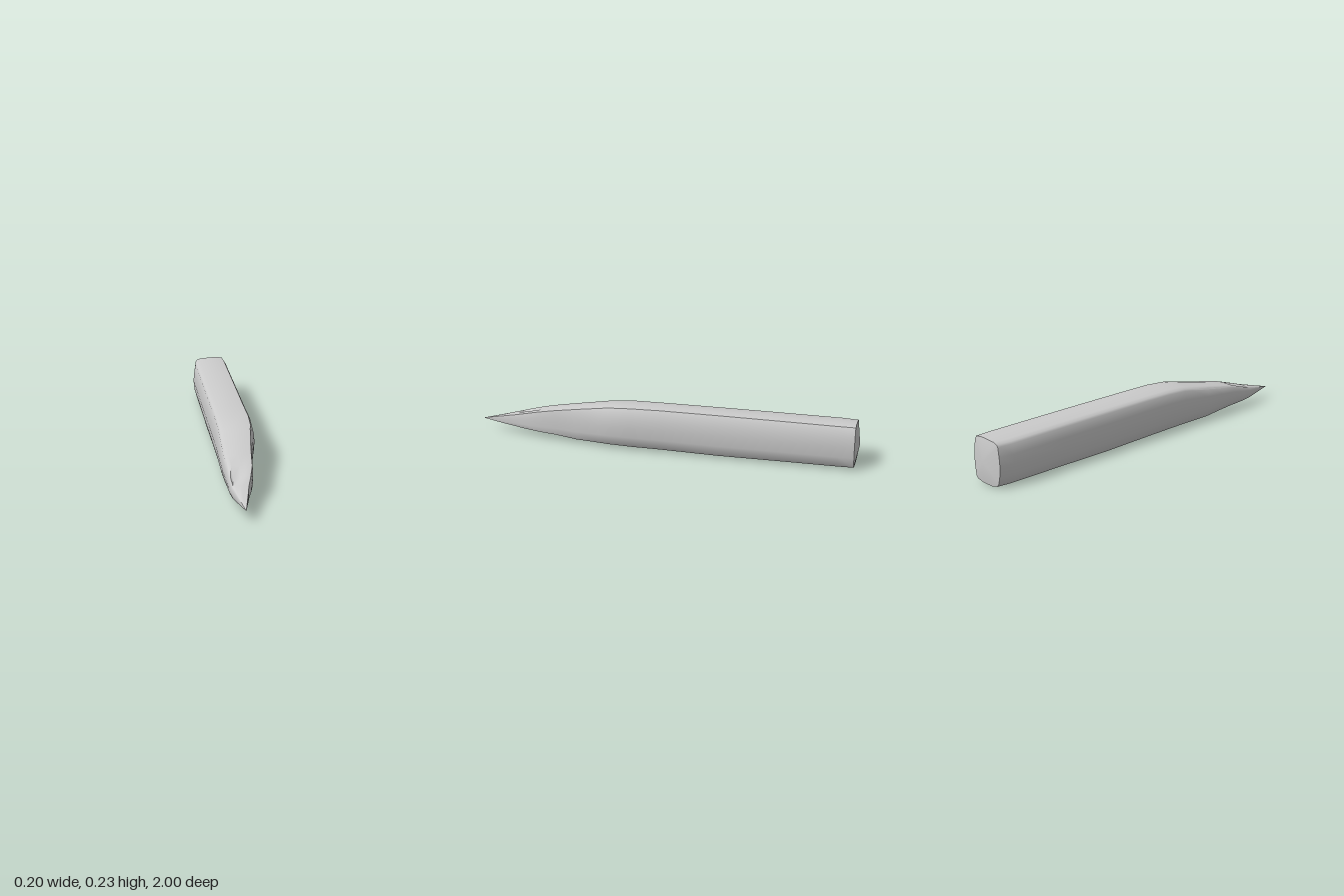
import * as THREE from 'three';
import { toCreasedNormals } from 'three/addons/utils/BufferGeometryUtils.js';

// Unit cross-section of the stake: a square with bowed sides and soft corners
const SECTION = [
  [1, 0.08], [0.97, 0.45], [0.87, 0.83], [0.78, 0.96], [0.4, 1], [0, 0.98],
  [-0.6, 0.94], [-0.8, 0.87], [-0.88, 0.78], [-0.96, 0.35], [-1, -0.05], [-0.95, -0.5],
  [-0.85, -0.82], [-0.75, -0.93], [-0.35, -1], [0.3, -0.98], [0.75, -0.9], [0.88, -0.8], [0.96, -0.4],
];

// Stations along the length: z, left edge, right edge, bottom, top
const STATIONS = [
  [-0.98, -0.092, 0.092, 0.004, 0.228],
  [-0.90, -0.102, 0.097, 0.004, 0.229],
  [-0.60, -0.100, 0.097, 0.003, 0.231],
  [-0.30, -0.099, 0.097, 0.001, 0.232],
  [0.00, -0.097, 0.097, 0.006, 0.232],
  [0.15, -0.097, 0.100, 0.008, 0.230],
  [0.27, -0.096, 0.095, 0.010, 0.222],
  [0.32, -0.096, 0.085, 0.011, 0.213],
  [0.45, -0.096, 0.063, 0.013, 0.190],
  [0.57, -0.096, 0.046, 0.026, 0.168],
  [0.66, -0.093, 0.038, 0.032, 0.150],
  [0.74, -0.090, 0.020, 0.036, 0.128],
  [0.81, -0.083, 0.001, 0.041, 0.108],
  [0.90, -0.062, -0.018, 0.050, 0.086],
];

function loft() {
  const n = SECTION.length;
  const pos = [];
  const index = [];
  STATIONS.forEach(([z, x0, x1, y0, y1], i) => {
    const cut = THREE.MathUtils.clamp((z - 0.27) / 0.3, 0, 1);
    SECTION.forEach(([u, v], j) => {
      // the pared side is flatter towards the tip
      const uu = u > 0.7 ? THREE.MathUtils.lerp(u, 0.95, cut * 0.7) : u;
      // slight hand-hewn waviness, stronger on the lower flanks
      const wave = z > -0.9 && z < 0.27 ? 0.003 * Math.sin(z * 9 + j * 1.9) * (1 - Math.abs(u)) : 0;
      // small scooped chip on top near the tip
      const chip = z > 0.7 && z < 0.78 && (j === 6 || j === 5) ? 0.012 : 0;
      pos.push((x0 + x1) / 2 + uu * (x1 - x0) / 2,
        (y0 + y1) / 2 + v * (y1 - y0) / 2 - Math.abs(wave) * Math.sign(v) - chip, z);
      if (i < STATIONS.length - 1) {
        const a = i * n + j, b = i * n + (j + 1) % n;
        index.push(a, b, b + n, a, b + n, a + n);
      }
    });
  });
  // sharp point and slightly domed butt
  const last = (STATIONS.length - 1) * n;
  const tip = pos.length / 3;
  pos.push(-0.04, 0.062, 1, 0.01, 0.12, -1);
  for (let j = 0; j < n; j++) {
    const k = (j + 1) % n;
    index.push(last + j, last + k, tip, tip + 1, k, j);
  }
  const geo = new THREE.BufferGeometry();
  geo.setAttribute('position', new THREE.Float32BufferAttribute(pos, 3));
  geo.setIndex(index);
  return toCreasedNormals(geo, 0.8);
}

export function createModel() {
  const group = new THREE.Group();
  group.name = 'woodenStake';
  const stake = new THREE.Mesh(loft(), new THREE.MeshStandardMaterial({ color: 0xcccccc }));
  stake.name = 'sharpenedShaft';
  group.add(stake);
  return group;
}
